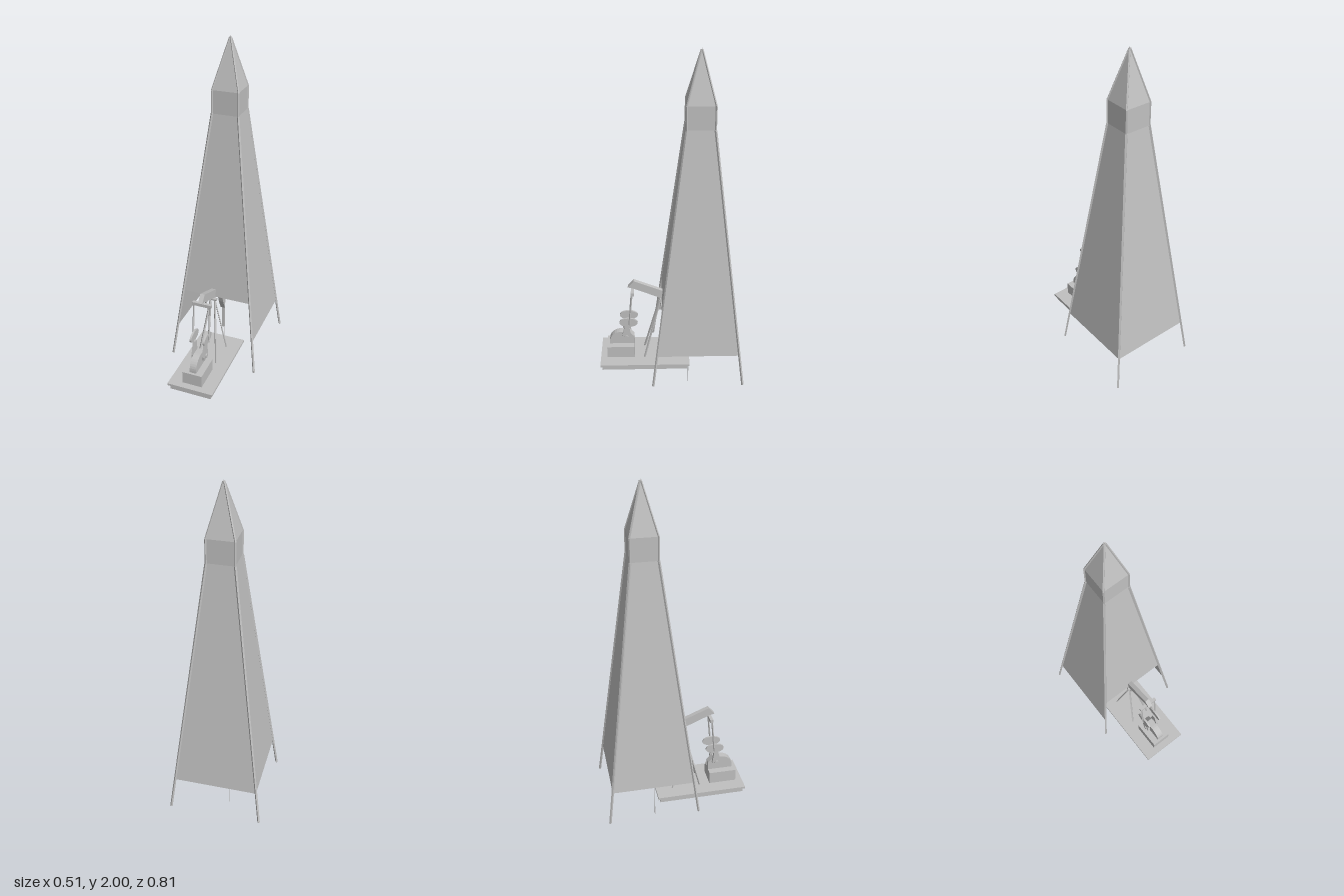
import * as THREE from 'three';

export function createModel() {
  const model = new THREE.Group();
  const grey = new THREE.MeshStandardMaterial({ color: 0xc0c0c0 });
  grey.name = 'paintedSteel';
  const sheet = new THREE.MeshStandardMaterial({ color: 0xc0c0c0, side: THREE.DoubleSide });
  sheet.name = 'sheetSteel';
  const PX = -0.016; // centre line of the pump
  const TZ = -0.15; // centre of the tower

  function add(name, geometry, parent = model, material = grey) {
    const mesh = new THREE.Mesh(geometry, material);
    mesh.name = name;
    parent.add(mesh);
    return mesh;
  }
  function box(name, x0, x1, y0, y1, z0, z1) {
    const mesh = add(name, new THREE.BoxGeometry(x1 - x0, y1 - y0, z1 - z0));
    mesh.position.set((x0 + x1) / 2, (y0 + y1) / 2, (z0 + z1) / 2);
    return mesh;
  }
  // Straight bar between two points
  function bar(name, a, b, radius, sides = 8, parent = model) {
    const from = new THREE.Vector3(...a), to = new THREE.Vector3(...b);
    const dir = to.clone().sub(from);
    const geometry = new THREE.CylinderGeometry(radius, radius, dir.length(), sides);
    const mesh = add(name, sides < 6 ? geometry.toNonIndexed() : geometry, parent);
    if (sides < 6) mesh.geometry.computeVertexNormals();
    mesh.position.copy(from).add(to).multiplyScalar(0.5);
    mesh.quaternion.setFromUnitVectors(new THREE.Vector3(0, 1, 0), dir.normalize());
    return mesh;
  }
  // Side profile given as [z, y], extruded across x
  function profile(name, points, x, width) {
    const shape = new THREE.Shape(points.map(([z, y]) => new THREE.Vector2(-z, y)));
    const geometry = new THREE.ExtrudeGeometry(shape, { depth: width, bevelEnabled: false });
    geometry.translate(0, 0, -width / 2).rotateY(Math.PI / 2);
    const mesh = add(name, geometry);
    mesh.position.x = x;
    return mesh;
  }

  // Tower cladding: four tapering walls, the front one with a taller opening
  const tower = new THREE.Group();
  tower.name = 'tower';
  tower.position.z = TZ;
  model.add(tower);
  const upper = [[1.62, 0.07], [1.74, 0.07], [2, 0]];
  ['frontWall', 'leftWall', 'backWall', 'rightWall'].forEach((name, i) => {
    const levels = [i === 0 ? [0.61, 0.196] : [0.375, 0.225], ...upper];
    const pos = [];
    for (let k = 0; k < 3; k++) {
      const [y0, h0] = levels[k], [y1, h1] = levels[k + 1];
      pos.push(-h0, y0, h0, h0, y0, h0, h1, y1, h1);
      if (h1 > 0) pos.push(-h0, y0, h0, h1, y1, h1, -h1, y1, h1);
    }
    const geometry = new THREE.BufferGeometry();
    geometry.setAttribute('position', new THREE.Float32BufferAttribute(pos, 3));
    geometry.computeVertexNormals();
    add(name, geometry, tower, sheet).rotation.y = i * Math.PI / 2;
  });

  // Corner legs following the edges of the cladding
  for (const sx of [-1, 1]) for (const sz of [-1, 1]) {
    const path = [[0.19, 0.249], ...upper.slice(0, 2), [1.99, 0.002]];
    for (let k = 0; k < 3; k++) {
      const [[y0, h0], [y1, h1]] = [path[k], path[k + 1]];
      bar('towerLeg', [sx * h0, y0, sz * h0], [sx * h1, y1, sz * h1], k === 0 ? 0.007 : 0.005, 4, tower);
    }
  }

  // Base platform and gearbox plinth
  box('platformBase', -0.135, 0.103, 0.19, 0.217, -0.097, 0.39);
  box('platformDeck', -0.147, 0.115, 0.217, 0.23, -0.11, 0.4);
  box('plinth', -0.073, 0.04, 0.23, 0.302, 0.205, 0.362);

  // Rounded gearbox housing
  const hump = [[0.205, 0.3], [0.348, 0.3]];
  for (let i = 0; i <= 8; i++) {
    const a = (i / 8) * Math.PI / 2;
    hump.push([0.278 + 0.07 * Math.cos(a), 0.315 + 0.068 * Math.sin(a)]);
  }
  hump.push([0.235, 0.383], [0.205, 0.35]);
  profile('gearbox', hump, PX, 0.038);
  bar('crankShaft', [PX - 0.044, 0.36, 0.25], [PX + 0.044, 0.36, 0.25], 0.012, 12);

  for (const s of [-1, 1]) {
    // Cranks with oval counterweights, and rods up to the beam
    profile('crank', [[0.275, 0.34], [0.232, 0.34], [0.224, 0.36], [0.235, 0.44], [0.255, 0.44], [0.276, 0.36]],
      PX + s * 0.031, 0.014);
    const weight = add('counterweight', new THREE.CylinderGeometry(1, 1, 0.01, 24).rotateZ(Math.PI / 2));
    weight.scale.set(1, 0.029, 0.052);
    weight.position.set(PX + s * 0.038, 0.463, 0.235);
    bar('connectingRod', [PX + s * 0.046, 0.45, 0.231], [PX + s * 0.046, 0.665, 0.211], 0.005, 4);
    // Braced legs that carry the beam pivot
    for (const z of [0.147, -0.015]) {
      bar('postLeg', [PX + s * 0.055, 0.23, z], [PX + s * 0.012, 0.595, 0.055], z > 0 ? 0.006 : 0.004, 4);
    }
  }
  box('crossBar', PX - 0.054, PX + 0.054, 0.65, 0.668, 0.2, 0.217);
  bar('beamPivot', [PX - 0.022, 0.597, 0.052], [PX + 0.022, 0.597, 0.052], 0.009, 12);

  // Walking beam with its head inside the tower
  profile('walkingBeam', [[0.234, 0.682], [0.2, 0.721], [-0.07, 0.609], [-0.07, 0.556], [0.2, 0.672]], PX, 0.025);
  profile('beamHead', [[-0.055, 0.62], [-0.085, 0.6], [-0.102, 0.55], [-0.105, 0.49], [-0.098, 0.44], [-0.07, 0.5], [-0.05, 0.56]],
    PX, 0.027);

  // Hanging bar and thin well rod
  box('hangerBar', PX - 0.005, PX + 0.009, 0.3, 0.5, -0.115, -0.102);
  bar('wellRod', [-0.011, 0, -0.108], [-0.011, 0.31, -0.108], 0.0018);
  return model;
}
